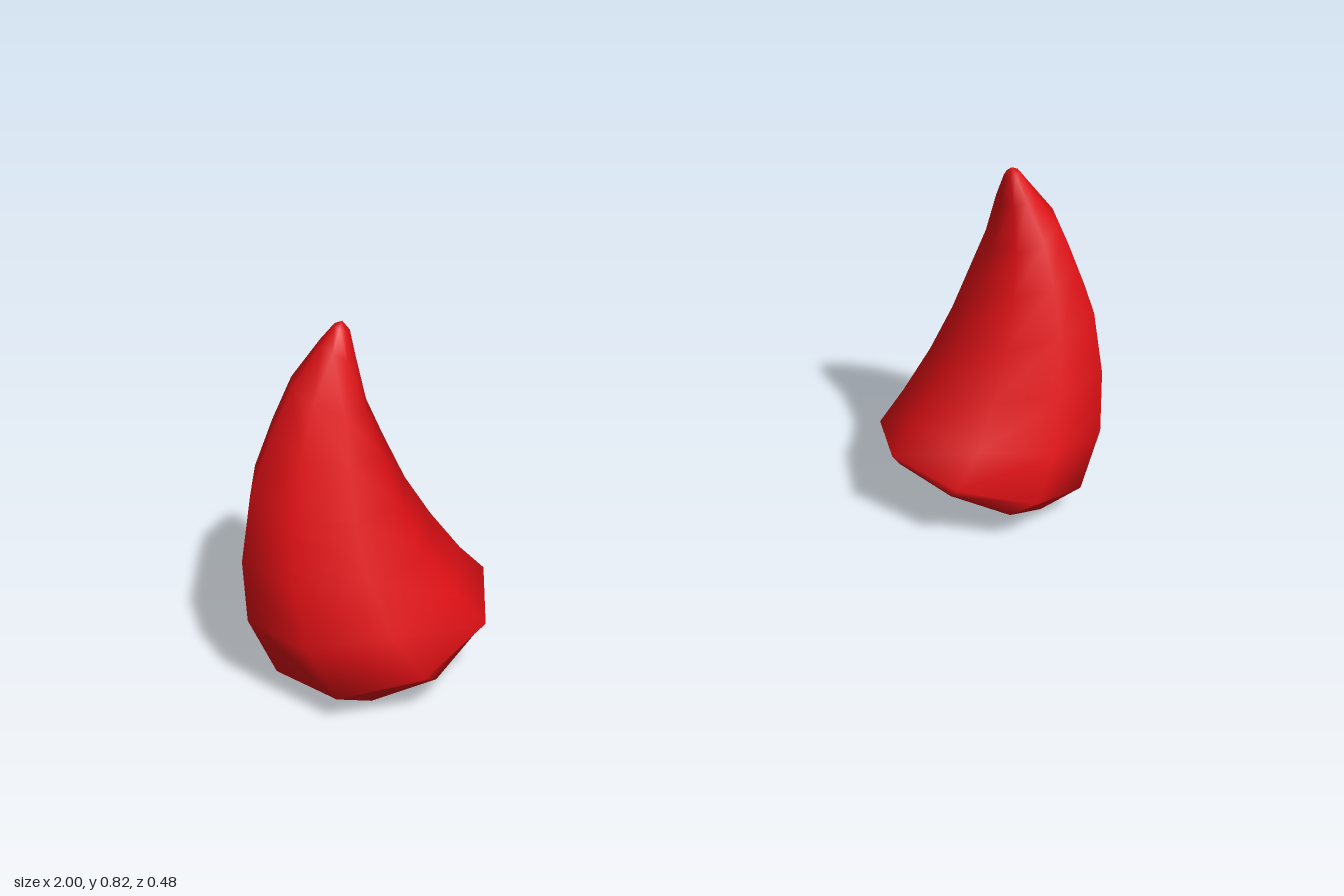
import * as THREE from 'three';

const SIDES = 8;

// Cross-sections from base to tip: inner x, inner y, outer x, outer y, half depth
const SECTIONS = [
  [0.51, 0.15, 0.85, 0.005, 0.195],
  [0.49, 0.175, 0.95, 0.06, 0.238],
  [0.54, 0.24, 1.0, 0.2, 0.22],
  [0.6, 0.34, 1.0, 0.34, 0.187],
  [0.65, 0.44, 0.97, 0.49, 0.155],
  [0.69, 0.55, 0.92, 0.6, 0.122],
  [0.72, 0.64, 0.87, 0.7, 0.088],
  [0.735, 0.74, 0.803, 0.78, 0.049],
  [0.743, 0.8, 0.773, 0.816, 0.019],
];
const BASE = [0.67, 0.08];
const TIP = [0.757, 0.823];

// Curved horn lofted through tilted rings; side is +1 or -1
function hornGeometry(side) {
  const pos = [];
  const index = [];
  const tri = (a, b, c) => (side > 0 ? index.push(a, b, c) : index.push(a, c, b));

  for (const [xi, yi, xo, yo, depth] of SECTIONS) {
    for (let i = 0; i < SIDES; i++) {
      const a = (i / SIDES) * Math.PI * 2;
      const t = (1 + Math.cos(a)) / 2; // 0 on the inner edge, 1 on the outer
      pos.push(side * (xi + (xo - xi) * t), yi + (yo - yi) * t, depth * Math.sin(a));
    }
  }
  const base = pos.length / 3;
  const tip = base + 1;
  pos.push(side * BASE[0], BASE[1], 0, side * TIP[0], TIP[1], 0);

  const last = (SECTIONS.length - 1) * SIDES;
  for (let i = 0; i < SIDES; i++) {
    const j = (i + 1) % SIDES;
    for (let r = 0; r < last; r += SIDES) {
      tri(r + i, r + SIDES + i, r + j);
      tri(r + j, r + SIDES + i, r + SIDES + j);
    }
    tri(base, i, j);
    tri(last + i, tip, last + j);
  }

  const geo = new THREE.BufferGeometry();
  geo.setAttribute('position', new THREE.Float32BufferAttribute(pos, 3));
  geo.setIndex(index);
  geo.computeVertexNormals();
  return geo;
}

export function createModel() {
  const group = new THREE.Group();
  group.name = 'horns';
  const red = new THREE.MeshStandardMaterial({ color: 0xe01015 });
  for (const side of [1, -1]) {
    const horn = new THREE.Mesh(hornGeometry(side), red);
    horn.name = side > 0 ? 'leftHorn' : 'rightHorn';
    group.add(horn);
  }
  return group;
}
